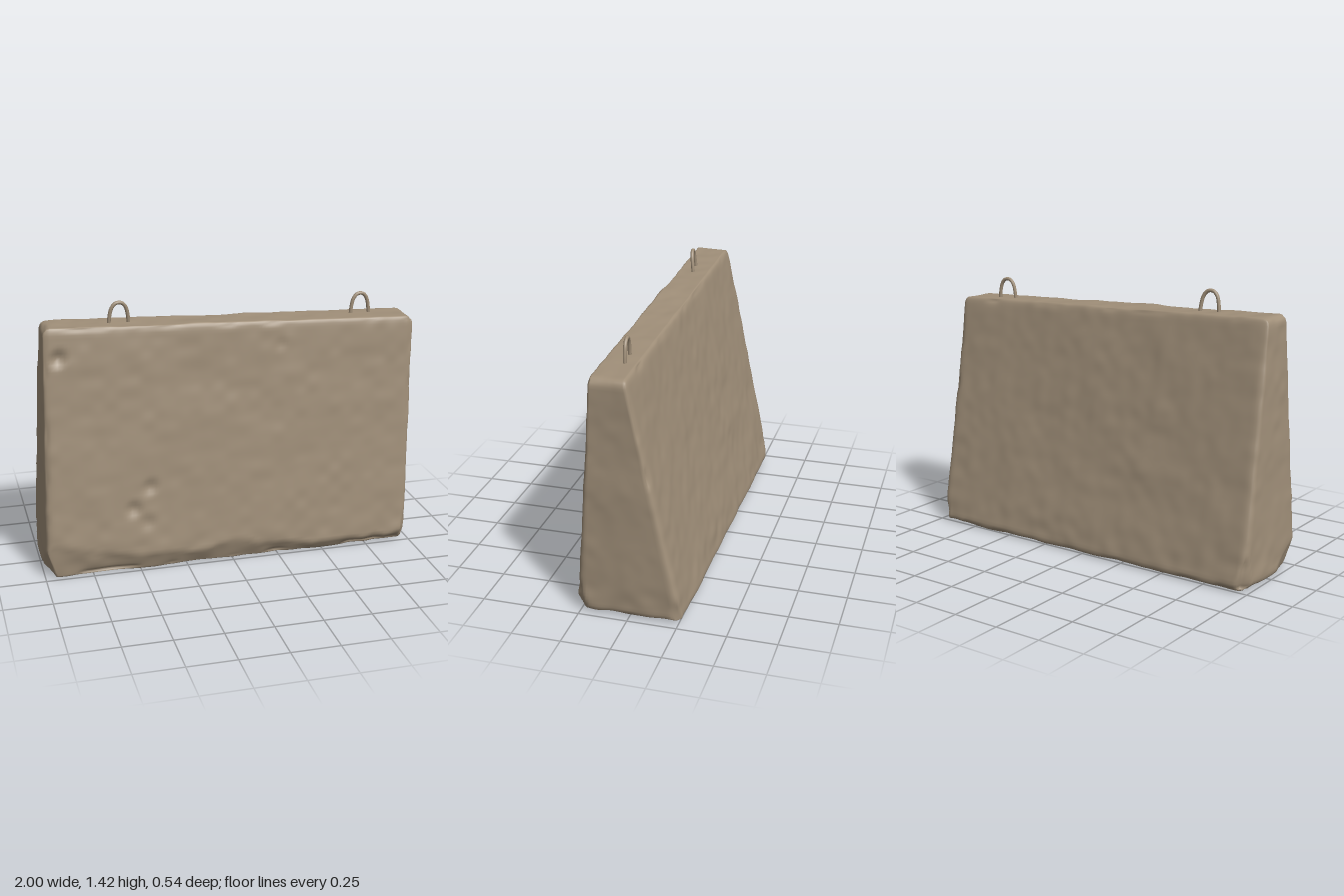
import * as THREE from 'three';
import { mergeVertices } from 'three/addons/utils/BufferGeometryUtils.js';

const lerp = THREE.MathUtils.lerp;
const clamp = THREE.MathUtils.clamp;
const smooth = THREE.MathUtils.smoothstep;

// Smooth repeatable 3D value noise in -1..1
function hash(x, y, z) {
  const s = Math.sin(x * 127.1 + y * 311.7 + z * 74.7) * 43758.5453;
  return (s - Math.floor(s)) * 2 - 1;
}
function noise(x, y, z) {
  const i = Math.floor(x), j = Math.floor(y), k = Math.floor(z);
  const f = (t) => t * t * (3 - 2 * t);
  const a = f(x - i), b = f(y - j), c = f(z - k);
  const row = (dj, dk) => lerp(hash(i, j + dj, k + dk), hash(i + 1, j + dj, k + dk), a);
  return lerp(lerp(row(0, 0), row(1, 0), b), lerp(row(0, 1), row(1, 1), b), c);
}

// Plane through three points, facing away from the middle of the block
function cut(a, b, c) {
  const plane = new THREE.Plane().setFromCoplanarPoints(
    new THREE.Vector3(...a), new THREE.Vector3(...b), new THREE.Vector3(...c));
  if (plane.distanceToPoint(new THREE.Vector3(0, 0.6, 0)) > 0) plane.negate();
  return plane;
}

// Broken lower corners
const cuts = [
  cut([-0.93, 0.01, 0.27], [-1, 0.2, 0.255], [-1, 0.08, 0.1]),
  cut([-0.93, 0.01, -0.27], [-1, 0.01, -0.18], [-1, 0.25, -0.22]),
  cut([0.93, 0.01, -0.275], [0.975, 0.01, -0.2], [0.975, 0.2, -0.235]),
  cut([0.92, 0.01, 0.27], [0.975, 0.01, 0.2], [0.975, 0.22, 0.255]),
];

// Hollows: centre x, y on the front face, radius, depth
const dents = [
  [-0.88, 1.17, 0.06, 0.025], [-0.44, 0.46, 0.06, 0.016], [-0.53, 0.35, 0.06, 0.018],
  [-0.46, 0.27, 0.06, 0.01], [0.27, 1.16, 0.05, 0.006],
];

// Height of the worn strip along the lower front edge
const wornHeights = [0.2, 0.15, 0.1, 0.08, 0.12, 0.08, 0.05, 0.05, 0.06];
function wornHeight(x) {
  const t = clamp((x + 1) * 4, 0, 7.999), i = Math.floor(t);
  return lerp(wornHeights[i], wornHeights[i + 1], t - i) + 0.015 * noise(x * 14, 3, 1);
}

function blockGeometry() {
  const H = 1.29, D = 0.54, r = 0.035;
  let geo = new THREE.BoxGeometry(2, H, D, 110, 72, 32);
  geo.deleteAttribute('normal');
  geo.deleteAttribute('uv');
  geo = mergeVertices(geo, 1e-4);
  const pos = geo.attributes.position;
  const p = new THREE.Vector3(), q = new THREE.Vector3(), n = new THREE.Vector3();
  const edge = [];

  // Round the box edges, then taper it into a leaning wedge
  for (let i = 0; i < pos.count; i++) {
    p.fromBufferAttribute(pos, i);
    q.set(clamp(p.x, -1 + r, 1 - r), clamp(p.y, -H / 2 + r, H / 2 - r), clamp(p.z, -D / 2 + r, D / 2 - r));
    n.copy(p).sub(q).normalize();
    edge.push(1 - Math.max(Math.abs(n.x), Math.abs(n.y), Math.abs(n.z)));
    p.copy(q).addScaledVector(n, r);
    const u = (p.x + 1) / 2, v = p.y / H + 0.5, w = p.z / D + 0.5;
    p.set(
      lerp(lerp(-0.998, -0.948, v), lerp(0.973, 0.993, v), u),
      lerp(0.008, lerp(1.325, 1.252, u), v),
      lerp(lerp(-0.275, -0.012, v), lerp(0.27, 0.172, v), w));
    for (const plane of cuts) {
      const d = plane.distanceToPoint(p);
      if (d > 0) p.addScaledVector(plane.normal, -d);
    }
    // Worn lower front edge
    const h = wornHeight(p.x);
    if (p.y < h && p.z > 0) {
      const face = 0.27 - 0.08 * p.y;
      p.z = Math.min(p.z, face - 0.05 * (1 - p.y / h));
    }
    pos.setXYZ(i, p.x, p.y, p.z);
  }
  geo.computeVertexNormals();

  // Weathered surface, chipped edges and hollows
  const normal = geo.attributes.normal;
  for (let i = 0; i < pos.count; i++) {
    p.fromBufferAttribute(pos, i);
    n.fromBufferAttribute(normal, i);
    let d = 0.004 * noise(p.x * 6, p.y * 6, p.z * 6) + 0.0025 * noise(p.x * 16, p.y * 16, p.z * 16);
    d -= 0.05 * edge[i] * Math.max(0, noise(p.x * 9 + 5, p.y * 9, p.z * 9));
    d += 0.006 * noise(p.x * 12, p.y * 12, p.z * 12 + 7) * smooth(0.22 - p.y, 0, 0.15);
    if (n.z > 0.5) {
      for (const [x, y, radius, depth] of dents) {
        d -= depth * (1 - smooth(Math.hypot(p.x - x, p.y - y), 0, radius));
      }
    }
    p.addScaledVector(n, d);
    pos.setXYZ(i, clamp(p.x, -1, 1), Math.max(p.y, 0), p.z);
  }
  geo.computeVertexNormals();
  return geo;
}

// Bent bar sunk into the top face
function liftingLoop(material, x, y, z, lean, turn) {
  const points = [
    [-0.053, -0.03], [-0.048, 0.04], [-0.036, 0.085], [-0.015, 0.107],
    [0.015, 0.107], [0.036, 0.085], [0.048, 0.04], [0.053, -0.03],
  ].map(([a, b]) => new THREE.Vector3(a, b, 0));
  const loop = new THREE.Mesh(
    new THREE.TubeGeometry(new THREE.CatmullRomCurve3(points), 40, 0.0095, 10), material);
  loop.position.set(x, y, z);
  loop.rotation.set(lean, turn, 0);
  loop.name = 'liftingLoop';
  return loop;
}

export function createModel() {
  const concrete = new THREE.MeshStandardMaterial({ color: 0xa08f79 });
  concrete.name = 'concrete';
  const group = new THREE.Group();
  group.name = 'concreteBarrier';
  const block = new THREE.Mesh(blockGeometry(), concrete);
  block.name = 'block';
  group.add(
    block,
    liftingLoop(concrete, -0.557, 1.305, 0.086, 0.1, 0.12),
    liftingLoop(concrete, 0.735, 1.258, 0.06, 0, 0.08));
  return group;
}
